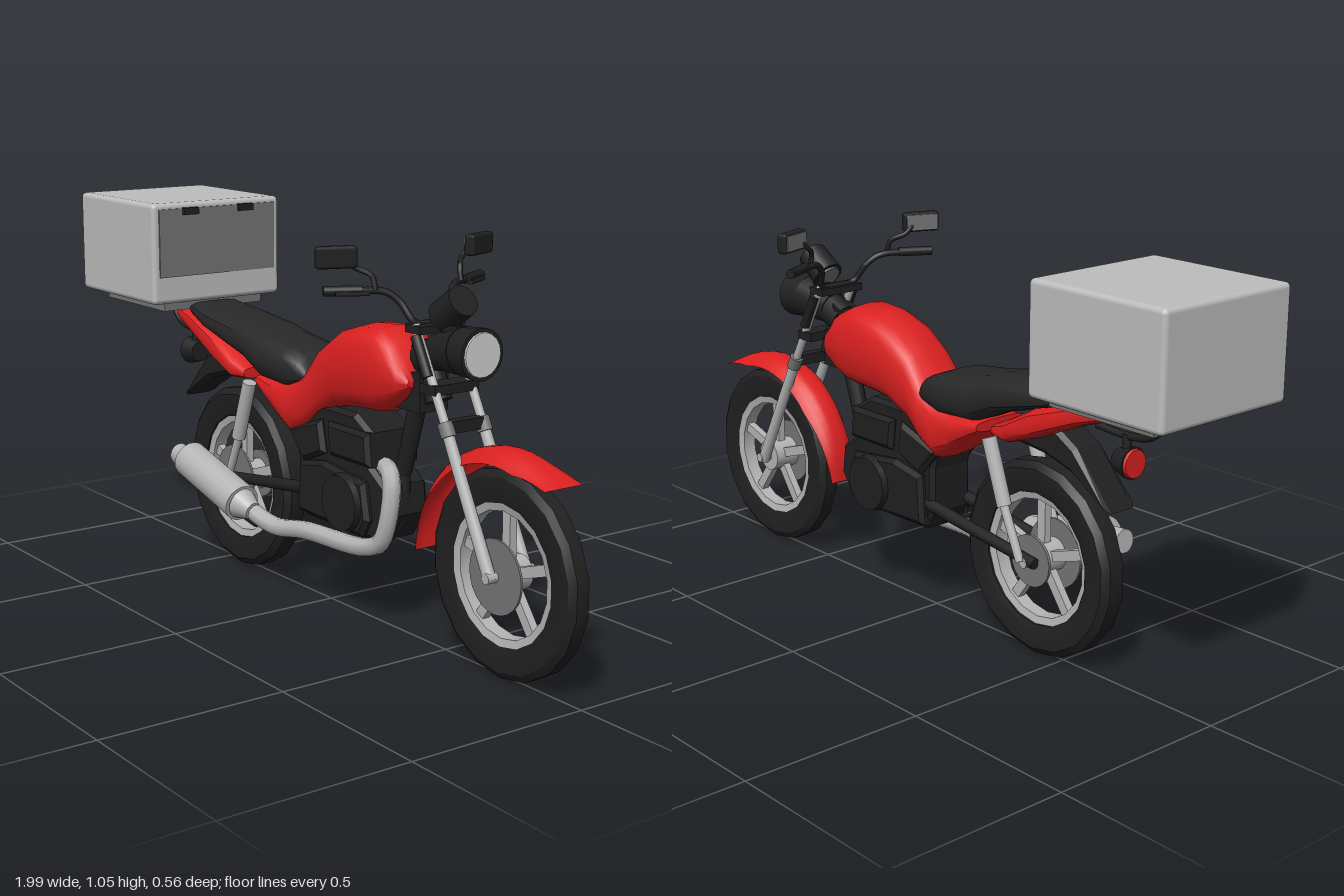
import * as THREE from 'three';
import { toCreasedNormals } from 'three/addons/utils/BufferGeometryUtils.js';
import { RoundedBoxGeometry } from 'three/addons/geometries/RoundedBoxGeometry.js';

const mat = (name, color, side = THREE.FrontSide) => {
  const m = new THREE.MeshStandardMaterial({ color, side });
  m.name = name;
  return m;
};
const V = (x, y, z = 0) => new THREE.Vector3(x, y, z);

export function createModel() {
  const red = mat('red paint', 0xdc2020, THREE.DoubleSide);
  const black = mat('black', 0x202020);
  const seatBlack = mat('seat black', 0x282828);
  const metal = mat('light metal', 0xb4b4b4);
  const disc = mat('dark metal', 0x757575);
  const boxGrey = mat('box grey', 0xbdbdbd);
  const lens = mat('lamp lens', 0xd2d2d2);
  const model = new THREE.Group();
  model.name = 'motorcycle';

  const add = (name, geo, m, x = 0, y = 0, z = 0, parent = model) => {
    const mesh = new THREE.Mesh(geo, m);
    mesh.name = name;
    mesh.position.set(x, y, z);
    parent.add(mesh);
    return mesh;
  };
  const box = (name, w, h, d, m, x, y, z, parent) => add(name, new THREE.BoxGeometry(w, h, d), m, x, y, z, parent);
  // straight rod or cone frustum between two points
  const rod = (name, a, b, r0, r1, m, n = 12) => {
    const mesh = add(name, new THREE.CylinderGeometry(r1, r0, a.distanceTo(b), n), m);
    mesh.position.copy(a).lerp(b, 0.5);
    mesh.quaternion.setFromUnitVectors(V(0, 1), b.clone().sub(a).normalize());
    return mesh;
  };
  const tube = (name, pts, r, m, n = 28) =>
    add(name, new THREE.TubeGeometry(new THREE.CatmullRomCurve3(pts, false, 'centripetal'), n, r, 8), m);
  // rounded sections along x, each [x, top, bottom, half width]
  const loft = (name, stations, m, e = 0.65) => {
    const N = 16, pos = [], idx = [];
    const pw = (v) => Math.sign(v) * Math.abs(v) ** e;
    stations.forEach(([x, t, b, w]) => {
      for (let j = 0; j < N; j++) {
        const a = (j / N) * Math.PI * 2;
        pos.push(x, (t + b) / 2 + pw(Math.sin(a)) * (t - b) / 2, pw(Math.cos(a)) * w);
      }
    });
    const last = (stations.length - 1) * N;
    for (let i = 0; i < last; i += N) for (let j = 0; j < N; j++) {
      const k = (j + 1) % N;
      idx.push(i + j, i + N + j, i + k, i + k, i + N + j, i + N + k);
    }
    for (let j = 1; j < N - 1; j++) idx.push(0, j, j + 1, last, last + j + 1, last + j);
    const g = new THREE.BufferGeometry();
    g.setAttribute('position', new THREE.Float32BufferAttribute(pos, 3));
    g.setIndex(idx);
    return add(name, toCreasedNormals(g, 0.7), m);
  };
  // side outline extruded across z
  const slab = (name, pts, halfW, m, bevel = 0.012) => {
    const s = new THREE.Shape(pts.map(([x, y]) => new THREE.Vector2(x, y)));
    const depth = 2 * (halfW - bevel);
    const g = new THREE.ExtrudeGeometry(s, { depth, bevelThickness: bevel, bevelSize: bevel, bevelOffset: -bevel, bevelSegments: 1 });
    return add(name, g.translate(0, 0, -depth / 2), m);
  };
  const ring = (profile) => toCreasedNormals(
    new THREE.LatheGeometry(profile.map(([r, y]) => new THREE.Vector2(r, y)), 18).rotateX(Math.PI / 2), 0.45);

  // wheels
  const wheel = (name, x, w) => {
    const g = new THREE.Group();
    g.name = name;
    g.position.set(x, 0.263, 0);
    model.add(g);
    add('tyre', ring([[0.18, -w * 0.8], [0.2, -w], [0.245, -w], [0.263, -w * 0.6], [0.263, w * 0.6],
      [0.245, w], [0.2, w], [0.18, w * 0.8], [0.18, -w * 0.8]]), black, 0, 0, 0, g);
    add('rim', ring([[0.16, -0.02], [0.185, -0.026], [0.185, 0.026], [0.16, 0.02], [0.16, -0.02]]), metal, 0, 0, 0, g);
    for (let i = 0; i < 5; i++) {
      const a = Math.PI / 2 + (i * Math.PI * 2) / 5;
      const s = box('spoke', 0.14, 0.028, 0.022, metal, Math.cos(a) * 0.1, Math.sin(a) * 0.1, 0, g);
      s.rotation.z = a;
    }
    add('hub', new THREE.CylinderGeometry(0.045, 0.045, 0.08, 16).rotateX(Math.PI / 2), metal, 0, 0, 0, g);
    add('brakeDisc', new THREE.CylinderGeometry(0.095, 0.095, 0.006, 24).rotateX(Math.PI / 2), disc, 0, 0, 0.041, g);
    add('axle', new THREE.CylinderGeometry(0.014, 0.014, 0.15, 10).rotateX(Math.PI / 2), metal, 0, 0, 0, g);
    return g;
  };
  wheel('frontWheel', 0.735, 0.031);
  const rear = wheel('rearWheel', -0.42, 0.038);
  add('sprocket', new THREE.CylinderGeometry(0.07, 0.07, 0.008, 20).rotateX(Math.PI / 2), disc, 0, 0, -0.045, rear);

  // front mudguard, an arched strip around the wheel
  const guard = new THREE.PlaneGeometry(1, 2, 18, 8);
  const gp = guard.attributes.position;
  for (let i = 0; i < gp.count; i++) {
    const u = gp.getX(i) + 0.5, v = gp.getY(i), a = THREE.MathUtils.degToRad(182 - u * 128);
    const r = 0.313 - 0.035 * Math.abs(v) ** 3 * Math.min(1, u * 3, (1 - u) * 6);
    gp.setXYZ(i, 0.735 + Math.cos(a) * r, 0.263 + Math.sin(a) * r, -v * (0.04 + 0.02 * Math.min(1, u * 3)));
  }
  guard.computeVertexNormals();
  add('frontMudguard', guard, red);

  // red bodywork and seat
  loft('tank', [[-0.25, 0.6, 0.57, 0.085], [-0.15, 0.605, 0.5, 0.095], [-0.08, 0.62, 0.455, 0.097],
    [-0.02, 0.65, 0.485, 0.095], [0.04, 0.725, 0.53, 0.09], [0.12, 0.778, 0.57, 0.095], [0.2, 0.803, 0.58, 0.1],
    [0.29, 0.81, 0.585, 0.1], [0.35, 0.78, 0.61, 0.096], [0.39, 0.73, 0.64, 0.085], [0.415, 0.695, 0.67, 0.065]], red);
  loft('seat', [[-0.59, 0.757, 0.72, 0.085], [-0.5, 0.747, 0.69, 0.1], [-0.3, 0.733, 0.63, 0.1],
    [-0.22, 0.718, 0.59, 0.104], [-0.1, 0.703, 0.585, 0.104], [-0.04, 0.68, 0.6, 0.092], [-0.01, 0.64, 0.61, 0.075]], seatBlack);
  loft('tail', [[-0.69, 0.738, 0.695, 0.07], [-0.6, 0.728, 0.665, 0.088], [-0.45, 0.685, 0.6, 0.1],
    [-0.36, 0.635, 0.568, 0.1], [-0.305, 0.61, 0.575, 0.085]], red);
  slab('rearMudguard', [[-0.35, 0.63], [-0.35, 0.57], [-0.46, 0.56], [-0.55, 0.535], [-0.69, 0.46], [-0.57, 0.6], [-0.5, 0.64]], 0.05, black);

  // tail lamp on its bracket
  tube('lampBracket', [V(-0.85, 0.74), V(-0.78, 0.67), V(-0.7, 0.655), V(-0.6, 0.66)], 0.01, black);
  rod('tailLamp', V(-0.722, 0.59), V(-0.675, 0.59), 0.042, 0.03, black, 14);
  rod('tailLens', V(-0.73, 0.59), V(-0.721, 0.59), 0.036, 0.038, red, 14);
  rod('lampStem', V(-0.7, 0.61), V(-0.7, 0.66), 0.012, 0.012, black);

  // cargo box and rack
  add('cargoBox', new RoundedBoxGeometry(0.43, 0.29, 0.43, 2, 0.014), boxGrey, -0.785, 0.907, 0);
  box('boxPanel', 0.006, 0.195, 0.39, disc, -0.569, 0.938, 0);
  for (const s of [-1, 1]) {
    box('boxLatch', 0.016, 0.02, 0.05, black, -0.565, 1.027, s * 0.093);
    box('rackEnd', 0.025, 0.025, 0.33, disc, -0.765 + s * 0.155, 0.75, 0);
  }
  for (let i = -3; i <= 3; i++) box('rackSlat', 0.33, 0.025, 0.024, disc, -0.765, 0.75, i * 0.051);
  box('rackPlate', 0.3, 0.008, 0.3, black, -0.765, 0.758, 0);

  // engine and frame
  slab('engine', [[-0.08, 0.5], [0.03, 0.57], [0.2, 0.57], [0.27, 0.53], [0.27, 0.44], [0.33, 0.4], [0.34, 0.32],
    [0.29, 0.245], [-0.03, 0.245], [-0.06, 0.3], [-0.06, 0.42]], 0.07, black);
  slab('engineCase', [[-0.04, 0.26], [-0.03, 0.4], [0.08, 0.42], [0.26, 0.4], [0.28, 0.3], [0.25, 0.25]], 0.09, black);
  slab('airBox', [[-0.09, 0.48], [0.06, 0.53], [0.08, 0.44], [-0.02, 0.4]], 0.085, black);
  slab('cylinderHead', [[0.1, 0.44], [0.09, 0.53], [0.27, 0.53], [0.28, 0.44]], 0.085, black);
  for (const s of [-1, 1])
    add('clutchCover', new THREE.CylinderGeometry(0.075, 0.08, 0.025, 16).rotateX(s * Math.PI / 2), black, 0.18, 0.33, s * 0.095);
  rod('downTube', V(0.4, 0.7), V(0.32, 0.43), 0.026, 0.022, black);
  rod('headTube', V(0.4, 0.78), V(0.46, 0.64), 0.035, 0.035, black);
  box('frameNeck', 0.12, 0.1, 0.09, black, 0.38, 0.66, 0);
  tube('lowerFrame', [V(0.32, 0.43), V(0.31, 0.3), V(0.25, 0.25), V(0, 0.25)], 0.018, black);

  // exhaust
  tube('exhaustPipe', [V(0.25, 0.44, 0.02), V(0.33, 0.43, 0.05), V(0.345, 0.36, 0.06), V(0.31, 0.25, 0.065),
    V(0.25, 0.222, 0.07), V(0, 0.212, 0.09), V(-0.12, 0.2, 0.11), V(-0.24, 0.24, 0.135)], 0.025, metal, 40);
  rod('muffler', V(-0.515, 0.312, 0.137), V(-0.24, 0.24, 0.137), 0.053, 0.053, metal, 18);
  rod('mufflerCone', V(-0.24, 0.24, 0.137), V(-0.19, 0.227, 0.132), 0.045, 0.025, metal, 18);
  rod('mufflerTip', V(-0.575, 0.315, 0.137), V(-0.51, 0.31, 0.137), 0.032, 0.032, metal, 14);

  // paired parts on both sides
  for (const s of [-1, 1]) {
    rod('forkLower', V(0.735, 0.255, s * 0.058), V(0.56, 0.6, s * 0.058), 0.017, 0.015, metal);
    rod('forkCollar', V(0.572, 0.577, s * 0.058), V(0.555, 0.61, s * 0.058), 0.02, 0.02, disc);
    rod('forkUpper', V(0.56, 0.6, s * 0.058), V(0.435, 0.835, s * 0.058), 0.012, 0.012, metal);
    rod('headlampBracket', V(0.5, 0.715, s * 0.068), V(0.45, 0.81, s * 0.068), 0.014, 0.014, black);
    rod('shockSpring', V(-0.35, 0.4, s * 0.075), V(-0.29, 0.57, s * 0.075), 0.02, 0.02, metal);
    rod('shockRod', V(-0.41, 0.265, s * 0.075), V(-0.34, 0.42, s * 0.075), 0.012, 0.012, metal);
    rod('swingArm', V(-0.45, 0.265, s * 0.06), V(-0.02, 0.32, s * 0.06), 0.015, 0.018, black);
    tube('handlebar', [V(0.43, 0.835, 0), V(0.43, 0.84, s * 0.055), V(0.4, 0.89, s * 0.08), V(0.38, 0.915, s * 0.11),
      V(0.35, 0.92, s * 0.18)], 0.009, black);
    rod('grip', V(0.36, 0.92, s * 0.165), V(0.315, 0.92, s * 0.25), 0.013, 0.013, black);
    rod('lever', V(0.385, 0.915, s * 0.16), V(0.345, 0.915, s * 0.235), 0.006, 0.006, black, 6);
    tube('mirrorStem', [V(0.375, 0.92, s * 0.135), V(0.365, 0.955, s * 0.14), V(0.335, 0.975, s * 0.17),
      V(0.335, 1.0, s * 0.2)], 0.007, black, 14);
    const mirror = new THREE.Group();
    mirror.name = 'mirror';
    mirror.position.set(0.335, 1.004, s * 0.226);
    mirror.rotation.y = s * -0.35;
    model.add(mirror);
    add('mirrorShell', new RoundedBoxGeometry(0.03, 0.055, 0.105, 1, 0.008), black, 0, 0, 0, mirror);
    box('mirrorGlass', 0.003, 0.043, 0.092, disc, -0.0155, 0, 0, mirror);
  }
  box('lowerYoke', 0.06, 0.025, 0.14, black, 0.5, 0.685, 0);
  box('upperYoke', 0.06, 0.02, 0.14, black, 0.44, 0.825, 0);
  box('forkBrace', 0.03, 0.03, 0.1, black, 0.56, 0.6, 0);

  // headlamp and instruments
  rod('headlampShell', V(0.45, 0.765), V(0.56, 0.782), 0.045, 0.062, black, 18);
  rod('headlampRim', V(0.555, 0.782), V(0.622, 0.782), 0.06, 0.066, black, 18);
  rod('headlampLens', V(0.618, 0.782), V(0.626, 0.782), 0.058, 0.055, lens, 18);
  rod('headlampMount', V(0.4, 0.74), V(0.5, 0.78), 0.045, 0.045, black);
  rod('instrumentPod', V(0.548, 0.905), V(0.475, 0.855), 0.042, 0.045, black, 14);
  rod('instrumentFace', V(0.476, 0.856), V(0.47, 0.852), 0.034, 0.034, disc, 14);
  rod('instrumentStem', V(0.5, 0.79), V(0.51, 0.87), 0.025, 0.025, black);
  return model;
}
